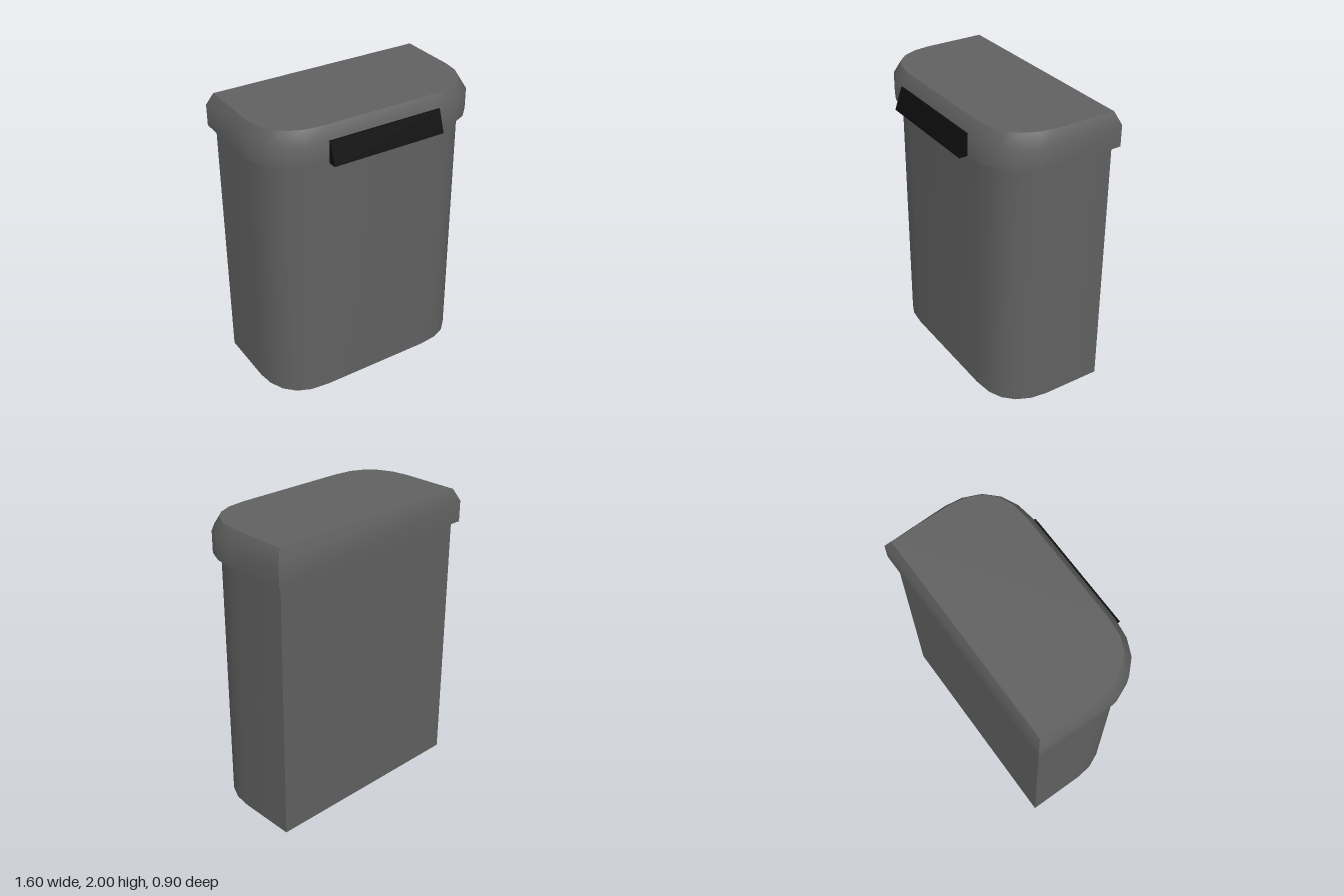
import * as THREE from 'three';
import { toCreasedNormals } from 'three/addons/utils/BufferGeometryUtils.js';

// Half outlines (x, z) from the back corner round to the front, mirrored below
const bodyHalf = [[0.75, -0.415], [0.75, 0], [0.735, 0.11], [0.69, 0.21], [0.62, 0.28], [0.53, 0.32], [0.4, 0.335]];
const lidHalf = [[0.79, -0.45], [0.8, 0], [0.785, 0.12], [0.735, 0.235], [0.65, 0.32], [0.54, 0.37], [0.4, 0.39]];
const mirror = (half) => [...half, ...half.map(([x, z]) => [-x, z]).reverse()];

// Closed solid through stacked convex outlines, each given as [outline, y]
function loft(levels) {
  const rings = levels.map(([outline, y]) => outline.map(([x, z]) => [x, y, z]));
  const n = rings[0].length;
  const pos = [];
  const tri = (a, b, c) => pos.push(...a, ...b, ...c);
  for (let r = 0; r < rings.length - 1; r++) {
    for (let i = 0; i < n; i++) {
      const j = (i + 1) % n;
      const lo = rings[r], hi = rings[r + 1];
      tri(lo[j], lo[i], hi[i]);
      tri(lo[j], hi[i], hi[j]);
    }
  }
  const bottom = rings[0], top = rings[rings.length - 1];
  for (let i = 1; i < n - 1; i++) {
    tri(bottom[0], bottom[i], bottom[i + 1]);
    tri(top[0], top[i + 1], top[i]);
  }
  const geometry = new THREE.BufferGeometry();
  geometry.setAttribute('position', new THREE.Float32BufferAttribute(pos, 3));
  return toCreasedNormals(geometry, 0.87);
}

export function createModel() {
  const group = new THREE.Group();
  const grey = new THREE.MeshStandardMaterial({ name: 'grey plastic', color: 0x606060 });
  const black = new THREE.MeshStandardMaterial({ name: 'black plastic', color: 0x0d0d0d });
  const add = (name, geometry, material) => {
    const mesh = new THREE.Mesh(geometry, material);
    mesh.name = name;
    group.add(mesh);
  };

  const bodyOutline = mirror(bodyHalf);
  const lidOutline = mirror(lidHalf);

  // Straight container with a flat back and rounded front
  add('body', loft([[bodyOutline, 0], [bodyOutline, 1.776]]), grey);

  // Overhanging lid with a bevelled rim
  add('lid', loft([[lidOutline, 1.775], [lidOutline, 1.918], [bodyOutline, 2]]), grey);

  // Wedge-shaped lip on the front of the lid
  const wedge = new THREE.Shape([
    new THREE.Vector2(0.385, 1.775),
    new THREE.Vector2(0.448, 1.775),
    new THREE.Vector2(0.398, 1.923),
    new THREE.Vector2(0.385, 1.923),
  ]);
  const handle = new THREE.ExtrudeGeometry(wedge, { depth: 0.8, bevelEnabled: false });
  handle.rotateY(-Math.PI / 2).translate(0.4, 0, 0); // profile x becomes +z
  add('handle', handle, black);

  return group;
}
